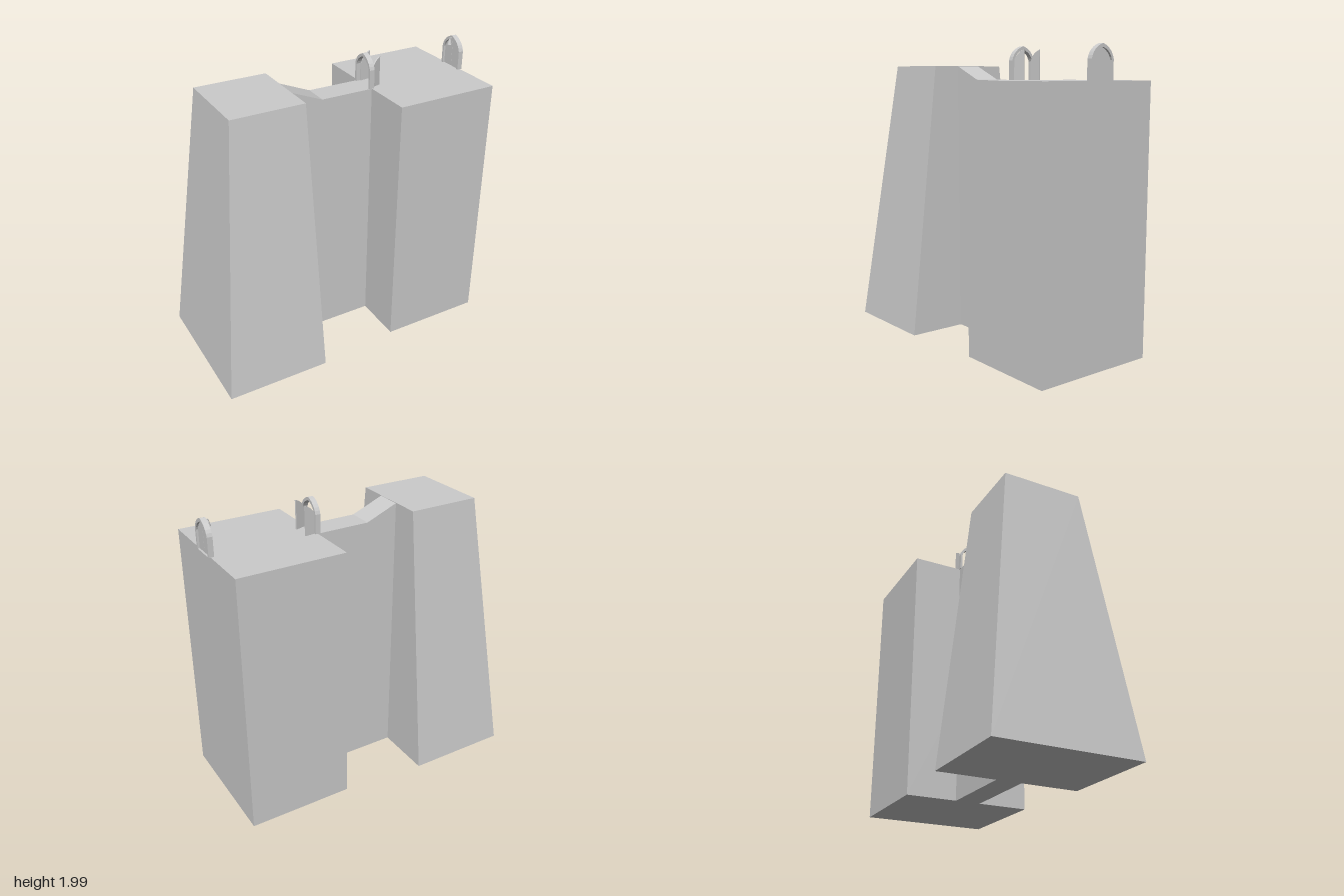
import * as THREE from 'three';

const material = new THREE.MeshStandardMaterial({ color: 0xcccccc, flatShading: true });

function part(parent, name, geometry, x = 0, y = 0, z = 0) {
  const mesh = new THREE.Mesh(geometry, material);
  mesh.name = name;
  mesh.position.set(x, y, z);
  parent.add(mesh);
  return mesh;
}

// Pointed arch outline standing on y = 0
function archPath(path, halfWidth, spring, top) {
  const bend = spring + (top - spring) * 0.75;
  path.moveTo(-halfWidth, 0);
  path.lineTo(halfWidth, 0);
  path.lineTo(halfWidth, spring);
  path.quadraticCurveTo(halfWidth * 0.82, bend, 0, top);
  path.quadraticCurveTo(-halfWidth * 0.82, bend, -halfWidth, spring);
  path.closePath();
  return path;
}

function centredExtrude(shape, depth) {
  const geometry = new THREE.ExtrudeGeometry(shape, { depth, bevelEnabled: false, curveSegments: 6 });
  return geometry.translate(0, 0, -depth / 2);
}

// Box whose top is narrowed and shifted
function towerGeometry() {
  const geometry = new THREE.BoxGeometry(2, 1.865, 2).translate(0, 1.865 / 2, 0);
  const p = geometry.attributes.position;
  for (let i = 0; i < p.count; i++) {
    const top = p.getY(i) > 0.1;
    const right = p.getX(i) > 0;
    p.setX(i, top ? (right ? -0.307 : -0.8) : (right ? -0.295 : -1));
    p.setZ(i, p.getZ(i) * (top ? 0.277 : 0.49));
  }
  geometry.computeVertexNormals();
  return geometry;
}

function gateFrame(parent, x) {
  const shape = archPath(new THREE.Shape(), 0.09, 0.125, 0.215);
  shape.holes.push(archPath(new THREE.Path(), 0.075, 0.12, 0.193));
  const gate = new THREE.Group();
  gate.name = 'gate';
  gate.position.set(x, 1.772, 0);
  parent.add(gate);
  part(gate, 'gateFrame', centredExtrude(shape, 0.035).rotateY(Math.PI / 2));
  return gate;
}

// Half-arch door leaf, hinged on its local y axis
function doorLeaf(gate, x, z, angle) {
  const shape = new THREE.Shape();
  shape.moveTo(0, 0);
  shape.lineTo(0.074, 0);
  shape.lineTo(0.074, 0.193);
  shape.quadraticCurveTo(0.015, 0.172, 0, 0.12);
  shape.closePath();
  part(gate, 'doorLeaf', centredExtrude(shape, 0.009), x, 0, z).rotation.y = angle;
}

export function createModel() {
  const model = new THREE.Group();
  model.name = 'towerAndBridge';

  part(model, 'taperedTower', towerGeometry());
  part(model, 'mainBlock', new THREE.BoxGeometry(0.71, 1.772, 0.87), 0.63, 0.886, 0);

  // Connecting wall with a ramp up to the tower
  const wall = new THREE.Shape();
  [[-0.34, 0], [0.3, 0], [0.3, 1.771], [-0.09, 1.772], [-0.309, 1.863], [-0.34, 1.863]]
    .forEach(([x, y], i) => (i ? wall.lineTo(x, y) : wall.moveTo(x, y)));
  wall.closePath();
  part(model, 'connectingWall', centredExtrude(wall, 0.174));

  // Open gate at the end of the wall
  const openGate = gateFrame(model, 0.273);
  doorLeaf(openGate, 0.012, -0.072, 0.12);
  doorLeaf(openGate, 0.012, 0.07, 0.34);

  // Closed gate on the far edge of the block
  const closedGate = gateFrame(model, 0.98);
  doorLeaf(closedGate, 0, -0.075, -Math.PI / 2);
  doorLeaf(closedGate, 0, 0.075, Math.PI / 2);

  // Small lantern hung from a bracket on the inner side
  part(closedGate, 'lanternBracket', new THREE.BoxGeometry(0.026, 0.006, 0.008), -0.022, 0.198, 0);
  part(closedGate, 'lanternShade', new THREE.CylinderGeometry(0.005, 0.016, 0.038, 10), -0.032, 0.176, 0);
  return model;
}
